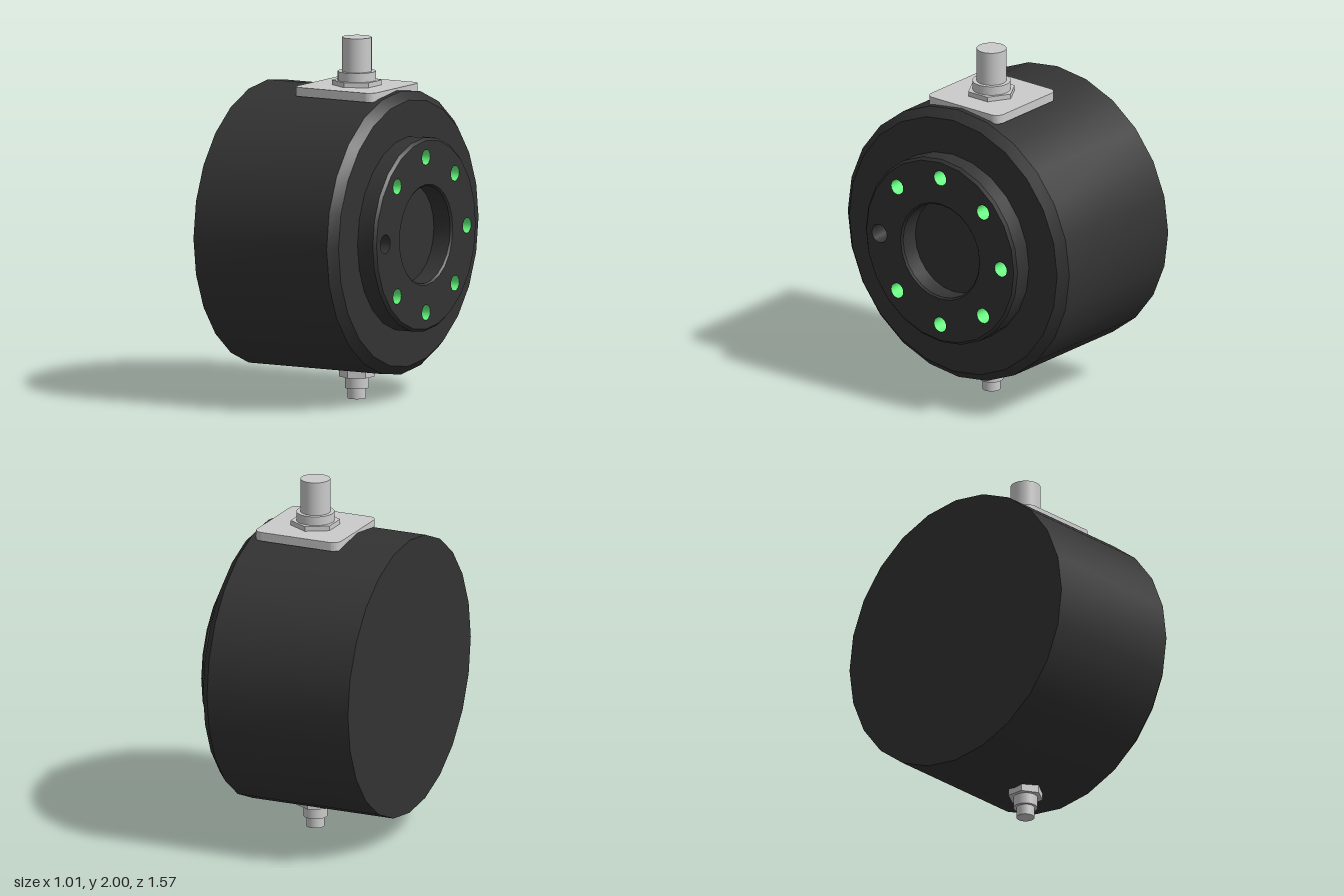
import * as THREE from 'three';
import { toCreasedNormals } from 'three/addons/utils/BufferGeometryUtils.js';

const AXIS_Y = 0.937; // height of the drum axis
const PORT_X = 0.06; // position of the fittings along the drum
const SIDES = 24;
const FACE_X = 0.505;

const black = new THREE.MeshStandardMaterial({ color: 0x333333, side: THREE.DoubleSide });
const green = new THREE.MeshStandardMaterial({ color: 0x66ff80, side: THREE.DoubleSide });
const grey = new THREE.MeshStandardMaterial({ color: 0xcccccc });

function add(parent, name, geometry, material, x = 0, y = 0, z = 0) {
  const mesh = new THREE.Mesh(geometry, material);
  mesh.name = name;
  mesh.position.set(x, y, z);
  parent.add(mesh);
  return mesh;
}

// Turned part about the x axis, from [radius, x] pairs
function turned(pairs, sides = SIDES) {
  const points = pairs.map(([r, x]) => new THREE.Vector2(r, x));
  return toCreasedNormals(new THREE.LatheGeometry(points, sides).rotateZ(-Math.PI / 2), 0.5);
}

// Regular polygon path in the shape plane
function ring(PathType, cx, cy, r, sides) {
  const points = [];
  for (let i = 0; i < sides; i++) {
    const a = (i / sides) * Math.PI * 2;
    points.push(new THREE.Vector2(cx + r * Math.cos(a), cy + r * Math.sin(a)));
  }
  return new PathType(points);
}

// Upright cylinder between two heights on the fitting axis
function stage(parent, name, r, y0, y1, sides = 32) {
  let geometry = new THREE.CylinderGeometry(r, r, y1 - y0, sides);
  if (sides === 6) geometry = toCreasedNormals(geometry, 0.3);
  add(parent, name, geometry, grey, 0, (y0 + y1) / 2, 0);
}

function roundedSquare(h, r) {
  const s = new THREE.Shape();
  const k = h - r;
  s.absarc(k, k, r, 0, Math.PI / 2);
  s.absarc(-k, k, r, Math.PI / 2, Math.PI);
  s.absarc(-k, -k, r, Math.PI, Math.PI * 1.5);
  s.absarc(k, -k, r, Math.PI * 1.5, Math.PI * 2);
  return s;
}

export function createModel() {
  const model = new THREE.Group();
  model.name = 'drumUnit';

  // Drum with chamfered front shoulder and raised flange
  const drum = new THREE.Group();
  drum.name = 'drum';
  drum.position.y = AXIS_Y;
  model.add(drum);
  add(drum, 'drumBody', turned([
    [0, -0.51], [0.785, -0.51], [0.785, 0.345], [0.737, 0.392],
    [0.537, 0.392], [0.537, 0.49], [0.522, FACE_X],
  ]), black);
  add(drum, 'centreBore', turned([[0.28, FACE_X], [0.27, 0.495], [0.27, 0.39], [0, 0.39]]), black);

  // Flange face with eight holes; one is larger and unthreaded
  const face = ring(THREE.Shape, 0, 0, 0.522, SIDES);
  face.holes.push(ring(THREE.Path, 0, 0, 0.28, SIDES));
  for (let i = 0; i < 8; i++) {
    const a = (i / 8) * Math.PI * 2;
    const large = i === 4;
    const r = large ? 0.053 : 0.043;
    const u = 0.43 * Math.cos(a);
    const v = 0.43 * Math.sin(a);
    face.holes.push(ring(THREE.Path, u, v, r, 16));
    add(drum, large ? 'pinHoleWall' : 'boltHoleWall',
      turned([[r, FACE_X], [r, 0.34]], 16), large ? black : green, 0, v, -u);
    add(drum, 'holeBottom', turned([[r, 0.34], [0, 0.32]], 16), black, 0, v, -u);
  }
  add(drum, 'flangeFace', new THREE.ShapeGeometry(face).rotateY(Math.PI / 2), black, FACE_X);

  // Top connector on its mounting plate
  const connector = new THREE.Group();
  connector.name = 'topConnector';
  connector.position.x = PORT_X;
  model.add(connector);
  const plate = new THREE.ExtrudeGeometry(roundedSquare(0.256, 0.05),
    { depth: 0.05, bevelEnabled: false, curveSegments: 8 }).rotateX(-Math.PI / 2);
  add(connector, 'mountingPlate', toCreasedNormals(plate, 0.5), grey, 0, 1.685, 0);
  stage(connector, 'connectorNut', 0.136, 1.73, 1.762, 6);
  stage(connector, 'connectorCollar', 0.105, 1.762, 1.812);
  stage(connector, 'connectorBarrel', 0.082, 1.812, 2);

  // Small fitting underneath
  const fitting = new THREE.Group();
  fitting.name = 'bottomFitting';
  fitting.position.x = PORT_X;
  model.add(fitting);
  stage(fitting, 'fittingNut', 0.098, 0.12, 0.17, 6);
  stage(fitting, 'fittingCollar', 0.066, 0.058, 0.12);
  stage(fitting, 'fittingTip', 0.05, 0, 0.058);

  return model;
}
